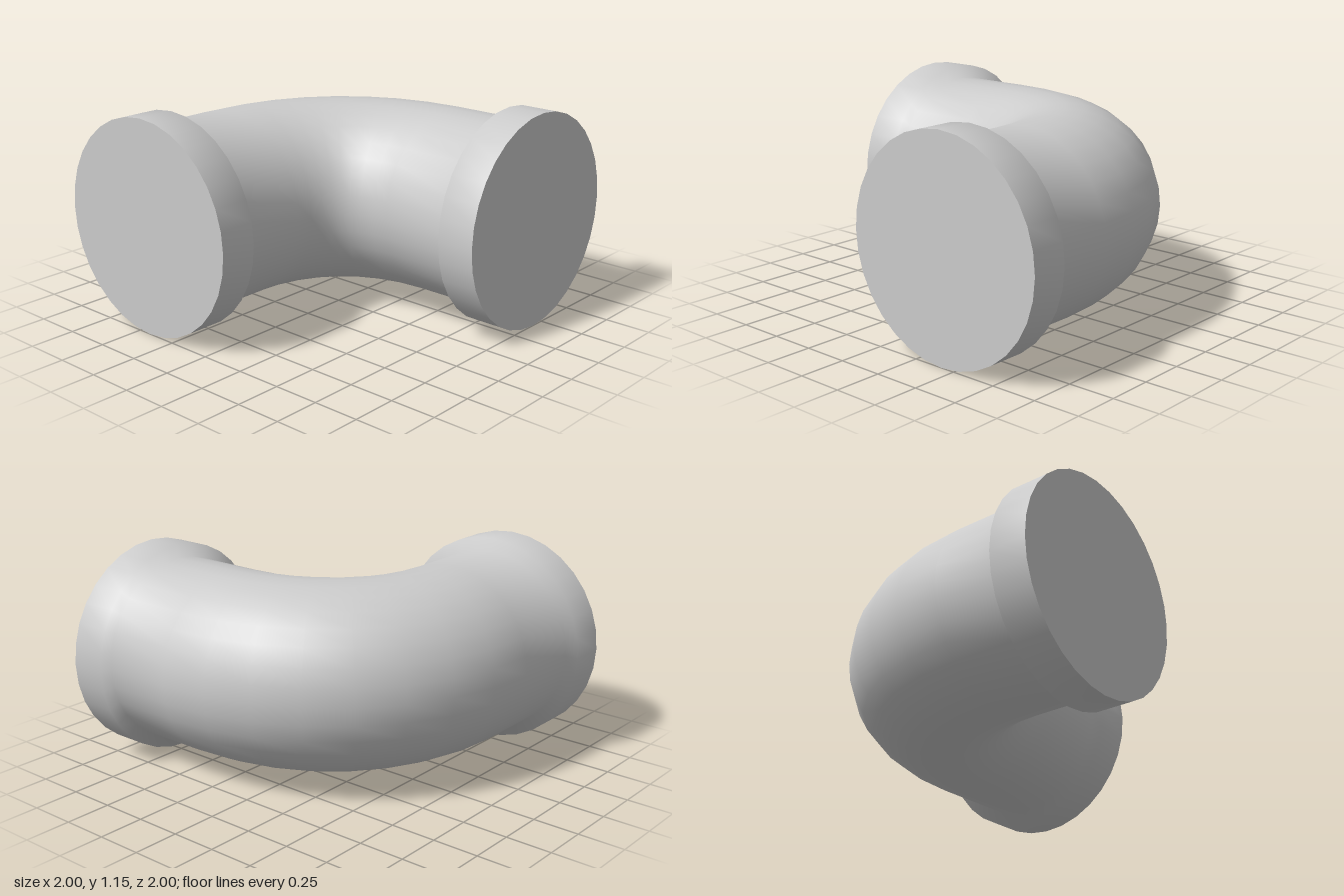
import * as THREE from 'three';

const SIDES = 32;
const PIPE_R = 0.505;
const COLLAR_R = 0.577;
const AXIS = -0.423; // offset of both pipe axes
const STEP = 0.795; // where the collars begin
const BEND = 0.4; // where the bend begins
const HANDLE = 0.49;

// Centre line, direction and radius of every ring, from the front end to the right end
function elbowRings() {
  const front = new THREE.Vector3(0, 0, -1);
  const right = new THREE.Vector3(1, 0, 0);
  const rings = [];
  const add = (x, z, dir, r) => rings.push({ centre: new THREE.Vector3(x, COLLAR_R, z), dir, r });
  const ends = [[1, COLLAR_R], [STEP, COLLAR_R], [STEP, PIPE_R]];

  ends.forEach(([d, r]) => add(AXIS, d, front, r));
  const bend = new THREE.CubicBezierCurve3(
    new THREE.Vector3(AXIS, 0, BEND),
    new THREE.Vector3(AXIS, 0, BEND - HANDLE),
    new THREE.Vector3(BEND - HANDLE, 0, AXIS),
    new THREE.Vector3(BEND, 0, AXIS)
  );
  for (let i = 0; i <= 8; i++) {
    const p = bend.getPoint(i / 8);
    add(p.x, p.z, bend.getTangent(i / 8), PIPE_R);
  }
  ends.reverse().forEach(([d, r]) => add(d, AXIS, right, r));
  return rings;
}

// Smooth skin through the rings, collars and their steps included
function sweep(rings) {
  const up = new THREE.Vector3(0, 1, 0);
  const positions = [];
  const indices = [];
  rings.forEach(({ centre, dir, r }, i) => {
    const side = new THREE.Vector3().crossVectors(dir, up).normalize();
    for (let j = 0; j < SIDES; j++) {
      const a = (j / SIDES) * Math.PI * 2;
      const p = centre.clone()
        .addScaledVector(side, r * Math.cos(a))
        .addScaledVector(up, r * Math.sin(a));
      positions.push(p.x, p.y, p.z);
      if (i === rings.length - 1) continue;
      const k = (j + 1) % SIDES;
      const A = i * SIDES + j, B = i * SIDES + k;
      const C = A + SIDES, D = B + SIDES;
      indices.push(A, C, B, B, C, D);
    }
  });
  const geometry = new THREE.BufferGeometry();
  geometry.setAttribute('position', new THREE.Float32BufferAttribute(positions, 3));
  geometry.setIndex(indices);
  geometry.computeVertexNormals();
  return geometry;
}

export function createModel() {
  const group = new THREE.Group();
  group.name = 'pipeElbow';
  const material = new THREE.MeshStandardMaterial({ color: 0xcccccc });

  const add = (name, geometry) => {
    const mesh = new THREE.Mesh(geometry, material);
    mesh.name = name;
    group.add(mesh);
    return mesh;
  };

  // Bent pipe with a collar at each end
  add('elbowWithCollars', sweep(elbowRings()));

  // Flat discs closing the ends
  const disc = new THREE.CircleGeometry(COLLAR_R, SIDES);
  add('frontEndCap', disc).position.set(AXIS, COLLAR_R, 1);
  const rightCap = add('sideEndCap', disc);
  rightCap.position.set(1, COLLAR_R, AXIS);
  rightCap.rotation.y = Math.PI / 2;

  return group;
}
